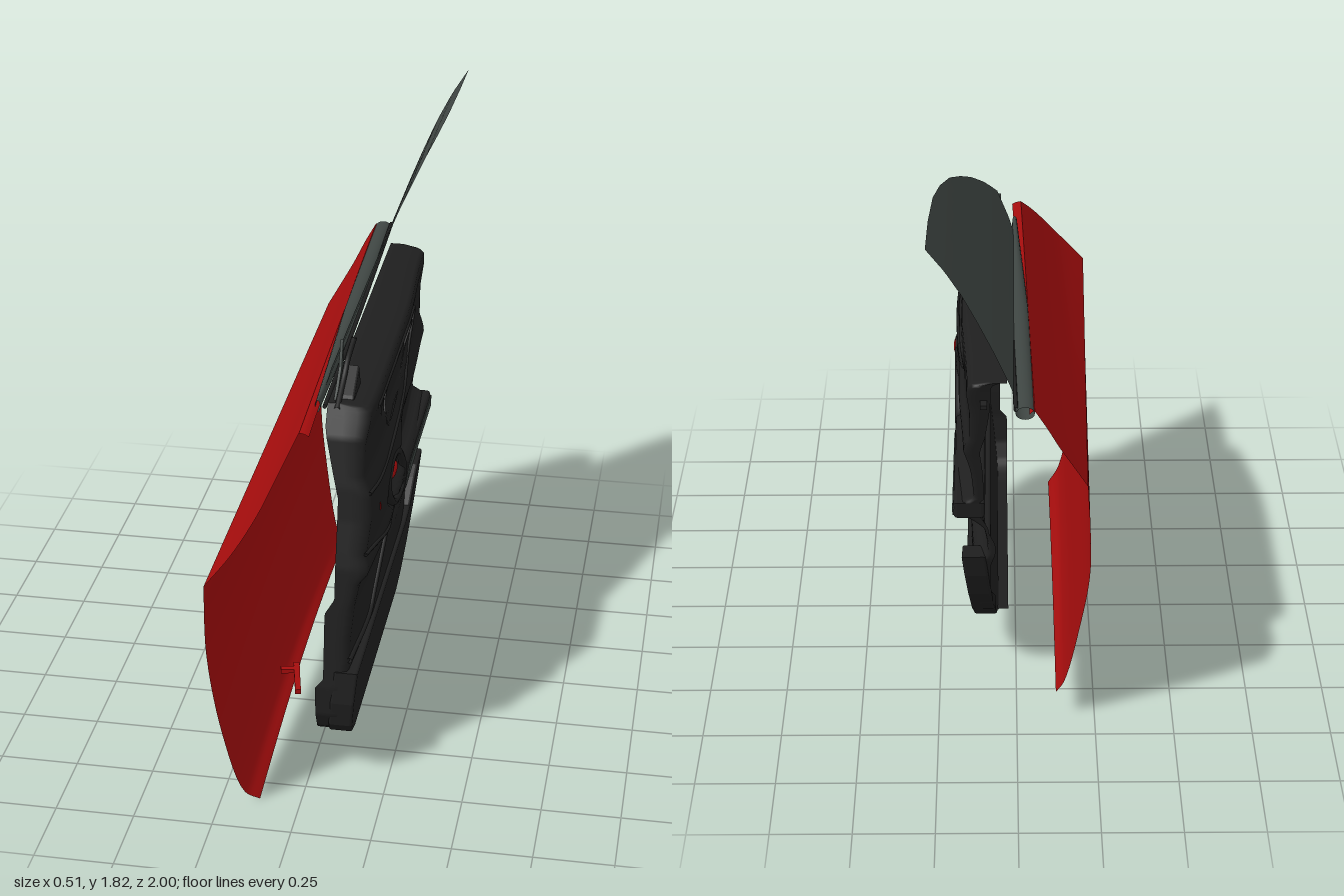
import * as THREE from 'three';

const mat = (name, color) => {
  const m = new THREE.MeshStandardMaterial({ color, side: THREE.DoubleSide });
  m.name = name;
  return m;
};
const V = (x, y, z) => new THREE.Vector3(x, y, z);
const smooth = THREE.MathUtils.smoothstep;

// linear lookup in rows of [key, value]
function table(rows, k) {
  if (k <= rows[0][0]) return rows[0][1];
  for (let i = 1; i < rows.length; i++) {
    const [a, va] = rows[i - 1], [b, vb] = rows[i];
    if (k <= b) return va + (vb - va) * (k - a) / (b - a);
  }
  return rows[rows.length - 1][1];
}

// surface from a function of (u, v)
function grid(nu, nv, fn) {
  const pos = [], idx = [];
  for (let j = 0; j <= nv; j++) for (let i = 0; i <= nu; i++) pos.push(...fn(i / nu, j / nv).toArray());
  for (let j = 0; j < nv; j++) for (let i = 0; i < nu; i++) {
    const a = j * (nu + 1) + i, b = a + nu + 1;
    idx.push(a, a + 1, b, a + 1, b + 1, b);
  }
  const g = new THREE.BufferGeometry();
  g.setAttribute('position', new THREE.Float32BufferAttribute(pos, 3));
  g.setIndex(idx);
  g.computeVertexNormals();
  return g;
}

// plate drawn in (z, y), thickened along +x from x0
function plate(pts, x0, depth, bevel = 0) {
  const shape = new THREE.Shape(pts.map(([z, y]) => new THREE.Vector2(-z, y)));
  const g = new THREE.ExtrudeGeometry(shape, {
    depth, bevelEnabled: bevel > 0, bevelSize: bevel, bevelThickness: bevel, bevelOffset: -bevel, bevelSegments: 3,
  });
  return g.rotateY(Math.PI / 2).translate(x0, 0, 0);
}

// trim panel: outline and depth tables keyed by height
const TRIM_FRONT = [[.15, .6], [.165, .65], [.19, .68], [.25, .71], [.35, .715], [.45, .7], [.75, .66], [.9, .62], [1, .6], [1.15, .56], [1.24, .5]];
const TRIM_REAR = [[.15, -.25], [.2, -.35], [.3, -.45], [.42, -.52], [.55, -.57], [.75, -.6], [.95, -.65], [1.15, -.71], [1.24, -.74]];
const TRIM_X = [[.15, .1], [.17, .12], [.2, .13], [.3, .138], [.41, .145], [.5, .145], [.62, .155], [.7, .17], [.73, .195],
  [.76, .195], [.79, .185], [.9, .195], [.98, .19], [1.03, .165], [1.12, .163], [1.19, .172], [1.22, .17], [1.235, .15], [1.24, .1]];
const TRIM_BACK = [[.15, .025], [.35, .025], [.38, .05], [.6, .05], [.65, .08], [.97, .08], [1.05, .06], [1.18, .03], [1.24, .03]];

function trimX(z, y) {
  let x = table(TRIM_X, y) - .02 * smooth(Math.abs(z - .05), .25, .75);
  const aft = 1 - smooth(z, -.1, .08);
  // pocket under the armrest, recess above it, bowl behind the pull handle
  x -= .045 * aft * smooth(y, .5, .58) * (1 - smooth(y, .66, .72));
  x -= .035 * aft * smooth(y, .765, .79) * (1 - smooth(y, .88, 1.02));
  x -= .035 * (1 - smooth(Math.hypot((z - .14) / .15, (y - .81) / .085), .6, 1.05));
  x -= .012 * (1 - smooth(Math.hypot((z + .02) / .32, (y - 1.11) / .075), .8, 1));
  return x;
}

export function createModel() {
  const red = mat('red paint', 0xa50d0d);
  const black = mat('black trim', 0x1f1f1f);
  const grey = mat('smoky grey', 0x3f4643);
  const model = new THREE.Group();
  model.name = 'carDoor';
  const add = (name, geo, m, parent = model) => {
    const mesh = new THREE.Mesh(geo, m);
    mesh.name = name;
    parent.add(mesh);
    return mesh;
  };
  const tube = (name, pts, r, m, closed = false) =>
    add(name, new THREE.TubeGeometry(new THREE.CatmullRomCurve3(pts, closed), 60, r, 8, closed), m);
  const onTrim = (pts, lift = 0) => pts.map(([z, y]) => V(trimX(z, y) + lift, y, z));

  // painted outer skin, lofted from the front edge to the rear edge, split at the crease
  const skin = (name, front, rear, sag) => {
    const a = new THREE.CatmullRomCurve3(front.map(p => V(...p)));
    const b = new THREE.CatmullRomCurve3(rear.map(p => V(...p)));
    add(name, grid(30, 24, (u, v) => {
      const p = a.getPoint(v).lerp(b.getPoint(v), u);
      p.y += sag * Math.sin(Math.PI * u) * (1 - v);
      return p;
    }), red);
  };
  skin('lowerOuterSkin',
    [[-.13, 0, .84], [-.17, .05, .88], [-.22, .3, .95], [-.255, .6, .985], [-.255, .85, 1]],
    [[-.125, .1, -.66], [-.15, .15, -.675], [-.195, .38, -.72], [-.225, .63, -.77], [-.21, .97, -.845]], .045);
  skin('upperOuterSkin',
    [[-.255, .85, 1], [-.175, .95, .97], [-.11, 1.05, .9], [-.06, 1.15, .78], [-.025, 1.22, .68]],
    [[-.21, .97, -.845], [-.17, 1.04, -.86], [-.125, 1.12, -.88], [-.085, 1.2, -.9], [-.05, 1.262, -.912]], 0);
  // folded top edge ahead of the glass
  add('topFold', grid(20, 3, (u, v) => V(-.025 - .025 * u + .03 * v * (1 - u * .5), 1.22 + .042 * u - .01 * v * v, .68 - 1.592 * u)), red);

  // belt moulding along the window sill
  add('beltMoulding', grid(30, 16, (u, v) => {
    const w = .008 + .02 * Math.min(1, u * 2), t = v * Math.PI * 2;
    return V(-.002 - .02 * u + w * Math.cos(t), 1.225 + .028 * u + .02 * Math.sin(t), .5 - 1.41 * u);
  }), grey);
  tube('beltSeal', [V(.02, 1.225, .5), V(.015, 1.245, -.2), V(.005, 1.266, -.91)], .007, black);

  // curved side glass
  const GLASS_TOP = [[-1, 1.82], [-.8, 1.815], [-.6, 1.8], [-.45, 1.773], [-.3, 1.733], [-.15, 1.673], [0, 1.605], [.18, 1.51], [.36, 1.4]];
  const GLASS_X = [[1.23, 0], [1.3, .02], [1.45, .075], [1.55, .115], [1.65, .158], [1.74, .205], [1.82, .257]];
  add('sideGlass', grid(48, 24, (u, v) => {
    const zTop = .36 - 1.36 * u, zLow = .39 - 1.21 * u;
    const yLow = 1.235 + .03 * u;
    const y = yLow + (table(GLASS_TOP, zTop) - yLow) * v;
    return V(table(GLASS_X, y), y, zLow + (zTop - zLow) * v);
  }), grey);

  // corner piece ahead of the glass
  add('cornerPlate', plate([[.5, 1.225], [.39, 1.31], [.36, 1.39], [.36, 1.225]], .045, .009), grey);
  tube('cornerFrame', [V(.06, 1.225, .51), V(.065, 1.29, .41), V(.07, 1.33, .38), V(.088, 1.4, .36)], .009, black);
  add('cornerBase', plate([[.5, 1.2], [.46, 1.25], [.37, 1.31], [.34, 1.24], [.34, 1.2]], .06, .04, .006), black);

  // inner trim shell with its edges turned back towards the skin
  add('innerTrim', grid(84, 110, (u, v) => {
    const y = .15 + 1.09 * Math.min(1, Math.max(0, (v - .01) / .98));
    const s = THREE.MathUtils.clamp((u - .04) / .92, 0, 1);
    const zf = table(TRIM_FRONT, y), zr = table(TRIM_REAR, y);
    const z = zf + (zr - zf) * s;
    const back = table(TRIM_BACK, y);
    const edge = Math.min(smooth(u, 0, .055), 1 - smooth(u, .95, 1) * .6);
    const x = v === 0 || v === 1 ? back : back + (trimX(z, y) - back) * edge;
    return V(x, y + .022 * s * smooth(y, .9, 1.24), z);
  }), black);

  // lower storage bin, leaning with the trim
  const bin = plate([[.71, .41], [.3, .412], [-.3, .412], [-.38, .43], [-.44, .51], [-.48, .54], [-.575, .555], [-.55, .47],
    [-.5, .37], [-.42, .26], [-.34, .19], [-.25, .155], [.6, .145], [.66, .165], [.7, .21], [.718, .3]], .09, .06, .008);
  const bp = bin.attributes.position;
  for (let i = 0; i < bp.count; i++) bp.setX(i, bp.getX(i) + (bp.getY(i) - .4) * .1);
  bin.computeVertexNormals();
  add('storageBin', bin, black);

  // armrest and its bright inlay
  add('armrest', plate([[.06, .7], [0, .745], [-.1, .765], [-.605, .77], [-.6, .715], [-.3, .70], [-.05, .675]], .11, .075, .012), black);
  add('armrestInlay', plate([[-.03, .7], [-.1, .738], [-.6, .755], [-.59, .72], [-.3, .715]], .192, .008), grey);

  // swooping rib from the bin up to the armrest
  tube('swoopRib', onTrim([[.69, .445], [.4, .45], [.32, .49], [.15, .61], [.02, .68], [-.06, .7]], .002), .009, black);
  tube('middleRib', onTrim([[.64, .8], [.5, .77], [.35, .735], [.2, .715], [.06, .71]], .001), .006, black);

  // pull handle loop
  tube('pullHandle', [[.3, .87], [.24, .915], [.14, .905], [.05, .855], [-.03, .765], [-.01, .725], [.08, .715], [.2, .755]]
    .map(([z, y]) => V(.185, y, z)), .014, black, true);
  const lever = add('releaseLever', new THREE.SphereGeometry(1, 20, 12), red);
  lever.scale.set(.012, .018, .056);
  lever.position.set(.193, .888, .235);
  tube('lockMark', onTrim([[.475, .895], [.465, .88], [.46, .865]], .001), .003, red);

  // upper shoulder line and speaker surround
  tube('shoulderRib', onTrim([[.59, .985], [.45, .97], [.2, .985], [-.13, 1.015], [-.28, 1.075], [-.37, 1.15], [-.37, 1.19], [-.2, 1.2], [.1, 1.195], [.4, 1.19]], .001), .006, black);
  tube('speakerSurround', onTrim([[.09, 1.19], [.15, 1.11], [.2, 1.03], [.05, 1.03], [-.15, 1.055], [-.26, 1.1], [-.3, 1.16], [-.27, 1.19], [-.1, 1.195]], .001), .004, black, true);

  // rear upper clip
  add('rearClip', new THREE.BoxGeometry(.02, .014, .06).translate(.1, 1.185, -.72), black);

  // check strap between skin and trim
  const strap = new THREE.Group();
  strap.name = 'checkStrap';
  strap.position.set(-.025, .4, .745);
  strap.rotation.y = .22;
  add('strapArm', new THREE.BoxGeometry(.018, .016, .16), red, strap);
  add('strapBracket', new THREE.BoxGeometry(.06, .014, .02).translate(-.02, 0, -.05), red, strap);
  model.add(strap);

  return model;
}
